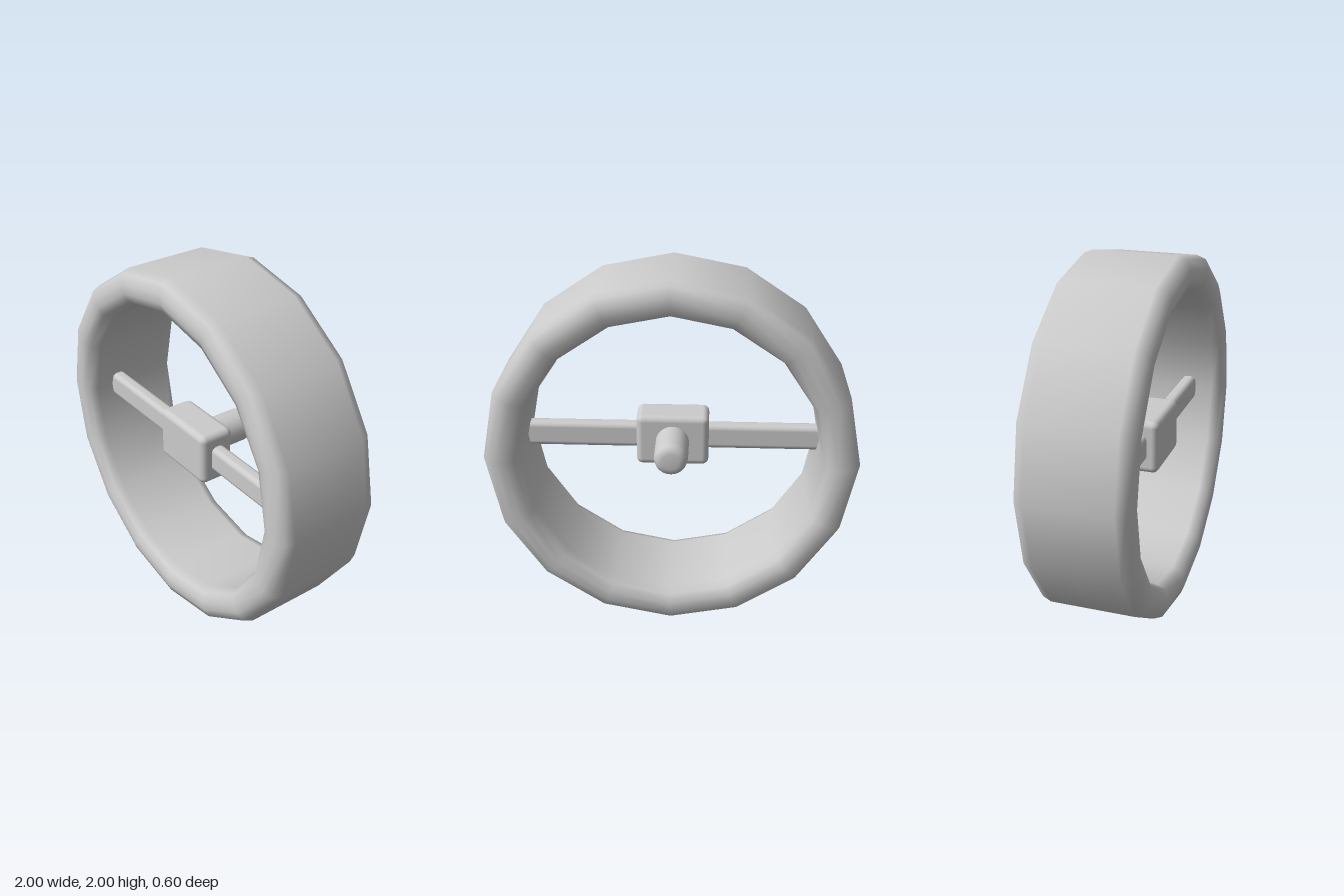
import * as THREE from 'three';
import { RoundedBoxGeometry } from 'three/addons/geometries/RoundedBoxGeometry.js';

const material = new THREE.MeshStandardMaterial({ color: 0xcccccc });

export function createModel() {
  const model = new THREE.Group();
  model.name = 'steeringWheel';

  const add = (name, geometry, x, y, z) => {
    const mesh = new THREE.Mesh(geometry, material);
    mesh.name = name;
    mesh.position.set(x, y, z);
    model.add(mesh);
  };
  const profile = (pairs) => pairs.map(([r, h]) => new THREE.Vector2(r, h));

  // Wide sixteen-sided rim with a bevelled section, turned to face the front
  const rim = new THREE.LatheGeometry(profile([
    [1, 0], [1, 0.23], [0.98, 0.28], [0.93, 0.3],
    [0.88, 0.3], [0.83, 0.28], [0.81, 0.23],
    [0.81, -0.23], [0.83, -0.28], [0.88, -0.3],
    [0.93, -0.3], [0.98, -0.28], [1, -0.23], [1, 0],
  ]), 16);
  rim.rotateX(Math.PI / 2);
  add('rim', rim, 0, 1, 0);

  // Two flat spokes running from the hub into the rim
  for (const side of [-1, 1]) {
    const name = side > 0 ? 'leftSpoke' : 'rightSpoke';
    add(name, new RoundedBoxGeometry(0.75, 0.145, 0.08, 2, 0.03), side * 0.495, 1.003, 0.09);
  }

  // Central hub block
  add('hub', new RoundedBoxGeometry(0.4, 0.295, 0.2, 3, 0.035), 0, 1.003, 0.09);

  // Column stub with a rounded tip, pointing backwards
  const column = new THREE.LatheGeometry(profile([
    [0.092, -0.05], [0.092, 0.2], [0.086, 0.225], [0.07, 0.243], [0.045, 0.25], [0, 0.25],
  ]), 24);
  column.rotateX(-Math.PI / 2);
  add('column', column, 0, 1.003, 0);

  return model;
}
